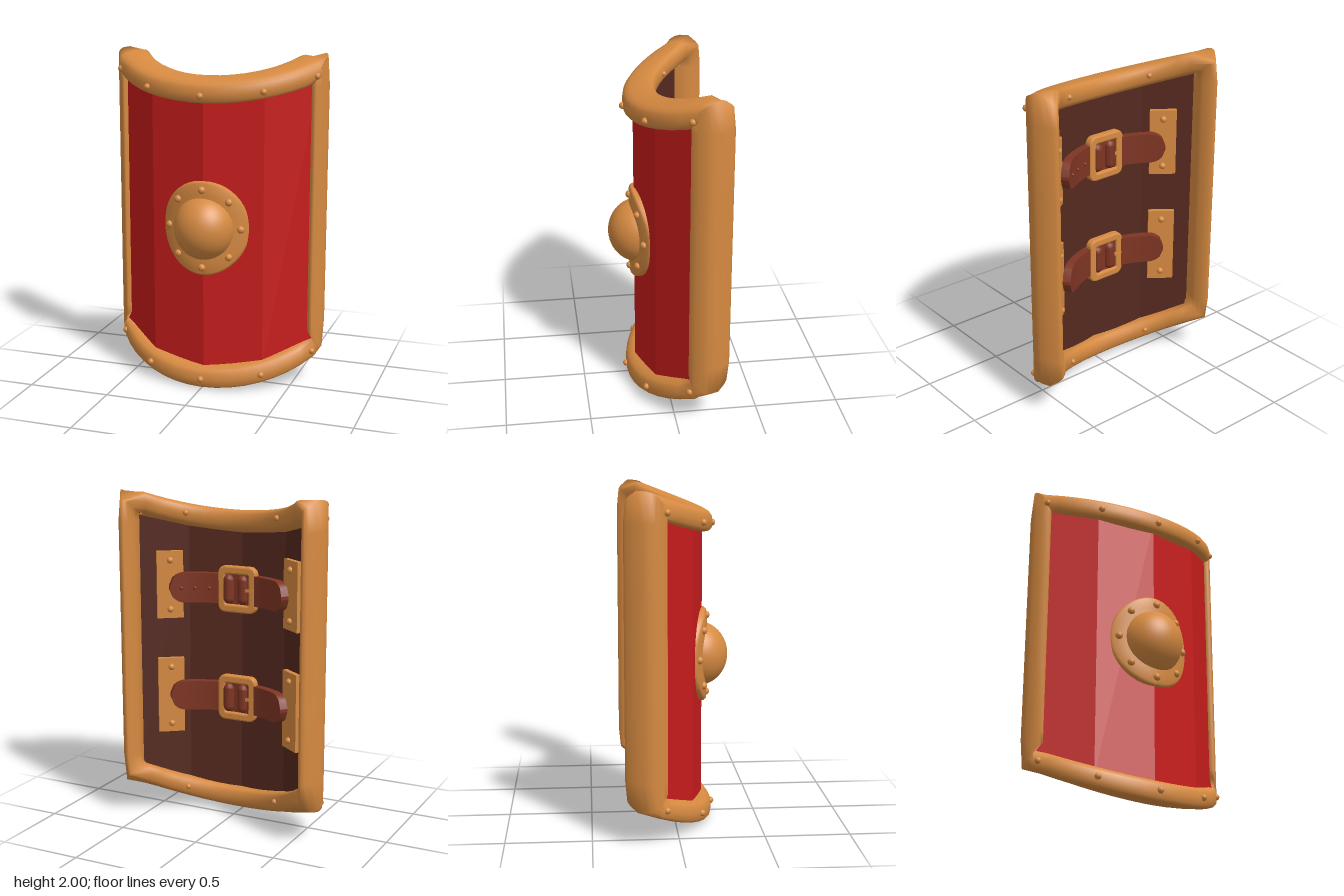
import * as THREE from 'three';

const mat = (name, color) => {
  const m = new THREE.MeshStandardMaterial({ color });
  m.name = name;
  return m;
};

export function createModel() {
  const root = new THREE.Group();
  root.name = 'shield';
  const bronze = mat('bronze', 0xd68a41);
  const red = mat('red paint', 0xc81c1b);
  const wood = mat('dark wood', 0x55291f);
  const leather = mat('leather', 0x7e3523);

  const add = (name, geometry, material, parent = root) => {
    const m = new THREE.Mesh(geometry, material);
    m.name = name;
    parent.add(m);
    return m;
  };
  const rivetGeo = new THREE.SphereGeometry(0.02, 14, 10);
  const rivet = (name, x, y, z, s = 1) => {
    const m = add(name, rivetGeo, bronze);
    m.position.set(x, y, z);
    m.scale.setScalar(s);
  };

  // The shield is bent around a vertical axis at z = ZC; its ends sweep upward.
  const R = 0.675, ZC = -0.54, END = 1.065;
  const topY = a => 1.807 + 0.38 * R * (1 - Math.cos(a));
  const bottomY = a => 0.073 + 0.55 * R * (1 - Math.cos(a));
  const onShell = (a, y, r, tilt = 0.2) => [(R + r) * Math.sin(a), y - tilt * r, ZC + (R + r) * Math.cos(a)];

  // Rim: rounded section swept round the bent rectangle, with softened mitres
  const path = []; // angle, y, outward direction
  const steps = [-1, -0.9];
  for (let i = -7; i <= 7; i++) steps.push(i * 0.11);
  steps.push(0.9, 1);
  const flatDir = t => (Math.abs(t) === 1 ? Math.sign(t) : 0);
  const rise = [0.07, 0.3, 0.5, 0.7, 0.93];
  for (const t of steps) path.push([t * END, bottomY(t * END), flatDir(t), -1]);
  for (const k of rise) path.push([END, THREE.MathUtils.lerp(bottomY(END), topY(END), k), 1, 0]);
  for (const t of [...steps].reverse()) path.push([t * END, topY(t * END), flatDir(t), 1]);
  for (const k of [...rise].reverse()) path.push([-END, THREE.MathUtils.lerp(bottomY(END), topY(END), k), -1, 0]);

  const SIDES = 16, pos = [], idx = [];
  const soft = v => Math.sign(v) * Math.pow(Math.abs(v), 0.65);
  for (const [a, y, da, dy] of path) {
    for (let j = 0; j < SIDES; j++) {
      const p = (j / SIDES) * Math.PI * 2;
      const o = soft(Math.cos(p)), q = soft(Math.sin(p));
      // Side bars lean backward; corners are cut down towards the back
      const r = da ? 0.015 + 0.08 * q : 0.097 * q;
      const cut = da && dy && o > 0;
      const ds = da * ((cut ? 0.75 : 1) * o * 0.07 - 0.7 * r);
      const high = cut ? 0.9 + 0.9 * Math.min(0, q) : 1;
      pos.push(...onShell(a + ds / R, y + dy * o * high * 0.068, r, da ? 0 : 0.2));
    }
  }
  const N = path.length;
  for (let i = 0; i < N; i++) {
    for (let j = 0; j < SIDES; j++) {
      const n = (i + 1) % N, k = (j + 1) % SIDES;
      const a = i * SIDES + j, b = n * SIDES + j, c = n * SIDES + k, d = i * SIDES + k;
      idx.push(a, b, c, a, c, d);
    }
  }
  const rimGeo = new THREE.BufferGeometry();
  rimGeo.setAttribute('position', new THREE.Float32BufferAttribute(pos, 3));
  rimGeo.setIndex(idx);
  rimGeo.computeVertexNormals();
  add('rim', rimGeo, bronze);

  // Rim rivets: five on the front edge, two on the back edge, top and bottom
  for (const edge of [topY, bottomY]) {
    for (const a of [-0.92, -0.476, 0, 0.476, 0.92]) {
      const r = Math.abs(a) > 0.9 ? 0.092 : 0.098;
      rivet('rimRivet', ...onShell(a, edge(a) + (edge === topY ? -0.008 : 0.006), r));
    }
    for (const a of [-0.54, 0.54]) rivet('rimBackRivet', ...onShell(a, edge(a), -0.098), 0.85);
  }

  // Planks: flat boards, painted red in front and bare wood behind
  const outer = [[-0.62, -0.125], [-0.345, 0.09], [0, 0.175], [0.345, 0.09], [0.62, -0.125]];
  const inner = [[-0.575, -0.165], [-0.318, 0.035], [0, 0.115], [0.318, 0.035], [0.575, -0.165]];
  for (let i = 0; i < 4; i++) {
    const g = new THREE.BoxGeometry(1, 1, 1);
    const p = g.attributes.position;
    for (let v = 0; v < p.count; v++) {
      const [x, z] = (p.getZ(v) > 0 ? outer : inner)[i + (p.getX(v) > 0 ? 1 : 0)];
      const a = Math.atan2(x, z - ZC);
      p.setXYZ(v, x, p.getY(v) > 0 ? topY(a) : bottomY(a), z);
    }
    g.computeVertexNormals();
    add('plank', g, [wood, wood, wood, wood, red, wood]);
  }

  // Boss: flange bent to the shield, half-round dome and eight rivets
  const bossY = 0.99;
  const bend = x => 1.2 * x * x;
  const flange = new THREE.LatheGeometry(
    [[0.268, -0.05], [0.268, -0.012], [0.257, 0], [0.2, 0.004], [0.1, 0.004]].map(q => new THREE.Vector2(...q)), 48);
  flange.rotateX(Math.PI / 2);
  flange.scale(1, 1.06, 1);
  const fp = flange.attributes.position;
  for (let v = 0; v < fp.count; v++) fp.setZ(v, fp.getZ(v) + 0.2 - bend(fp.getX(v)));
  flange.computeVertexNormals();
  add('bossFlange', flange, bronze).position.y = bossY;
  const domeGeo = new THREE.SphereGeometry(0.185, 40, 16, 0, Math.PI * 2, 0, Math.PI / 2);
  domeGeo.rotateX(Math.PI / 2);
  const dome = add('bossDome', domeGeo, bronze);
  dome.position.set(0, bossY, 0.145);
  dome.scale.y = 1.06;
  for (let i = 0; i < 8; i++) {
    const a = (i * Math.PI) / 4, x = 0.222 * Math.cos(a);
    rivet('bossRivet', x, bossY + 0.235 * Math.sin(a), 0.2 - bend(x), 1.15);
  }

  // Strap: long band with round ends, bowed along the back
  const strapZ = t => 0.045 - 0.15 * t * t;
  const strapGeo = new THREE.BoxGeometry(2, 1, 1, 48, 2, 1);
  const sp = strapGeo.attributes.position;
  for (let v = 0; v < sp.count; v++) {
    const t = sp.getX(v), slope = (-0.3 * t) / 0.38, len = Math.hypot(1, slope);
    const e = Math.max(0, (Math.abs(t) - 0.8) / 0.2);
    const half = 0.01 + 0.08 * Math.sqrt(Math.max(0, 1 - e * e));
    const d = sp.getZ(v) * 0.048;
    sp.setXYZ(v, 0.38 * t - (d * slope) / len, sp.getY(v) * 2 * half, strapZ(t) + d / len);
  }
  strapGeo.computeVertexNormals();

  // Buckle: square frame with rounded corners and an opening
  const roundRect = (Shape, w, h, r) => {
    const s = new Shape();
    s.moveTo(w - r, -h);
    s.absarc(w - r, -h + r, r, -Math.PI / 2, 0);
    s.absarc(w - r, h - r, r, 0, Math.PI / 2);
    s.absarc(-w + r, h - r, r, Math.PI / 2, Math.PI);
    s.absarc(-w + r, -h + r, r, Math.PI, Math.PI * 1.5);
    s.closePath();
    return s;
  };
  const frame = roundRect(THREE.Shape, 0.115, 0.13, 0.035);
  frame.holes.push(roundRect(THREE.Path, 0.087, 0.102, 0.02));
  const buckleGeo = new THREE.ExtrudeGeometry(frame, {
    depth: 0.03, bevelEnabled: true, bevelSize: 0.01, bevelThickness: 0.01, bevelSegments: 2, curveSegments: 5,
  });

  for (const [y, plateY, plateH, studs] of [[1.415, 1.425, 0.41, [0.17, 0.25, 0.32]], [0.745, 0.735, 0.47, []]]) {
    const set = new THREE.Group();
    set.name = 'armStrap';
    set.position.y = y;
    root.add(set);
    add('strap', strapGeo, leather, set);
    add('buckle', buckleGeo, bronze, set).position.set(-0.015, 0, 0.012);
    // Folds of leather passing over the buckle, and its prong
    for (const x of [-0.05, 0.045]) {
      const fold = add('strapFold', new THREE.CapsuleGeometry(0.035, 0.11, 4, 12), leather, set);
      fold.position.set(x, 0, 0.024);
    }
    add('prong', new THREE.BoxGeometry(0.07, 0.016, 0.016), bronze, set).position.set(-0.095, 0, 0.008);
    // Small studs along one half of the strap
    for (const x of studs) {
      const stud = add('strapStud', new THREE.SphereGeometry(0.011, 10, 6), leather, set);
      stud.position.set(x - 0.01, 0, strapZ(x / 0.38) - 0.024);
    }
    // Mounting plates with rivets
    for (const s of [-1, 1]) {
      const plate = add('strapPlate', new THREE.BoxGeometry(0.16, plateH, 0.03), bronze);
      plate.position.set(s * 0.405, plateY, -0.055);
      plate.rotation.y = s * 0.64;
      for (const k of [-1, 1]) rivet('plateRivet', s * 0.395, plateY + k * (plateH / 2 - 0.055), -0.068);
    }
  }
  return root;
}
